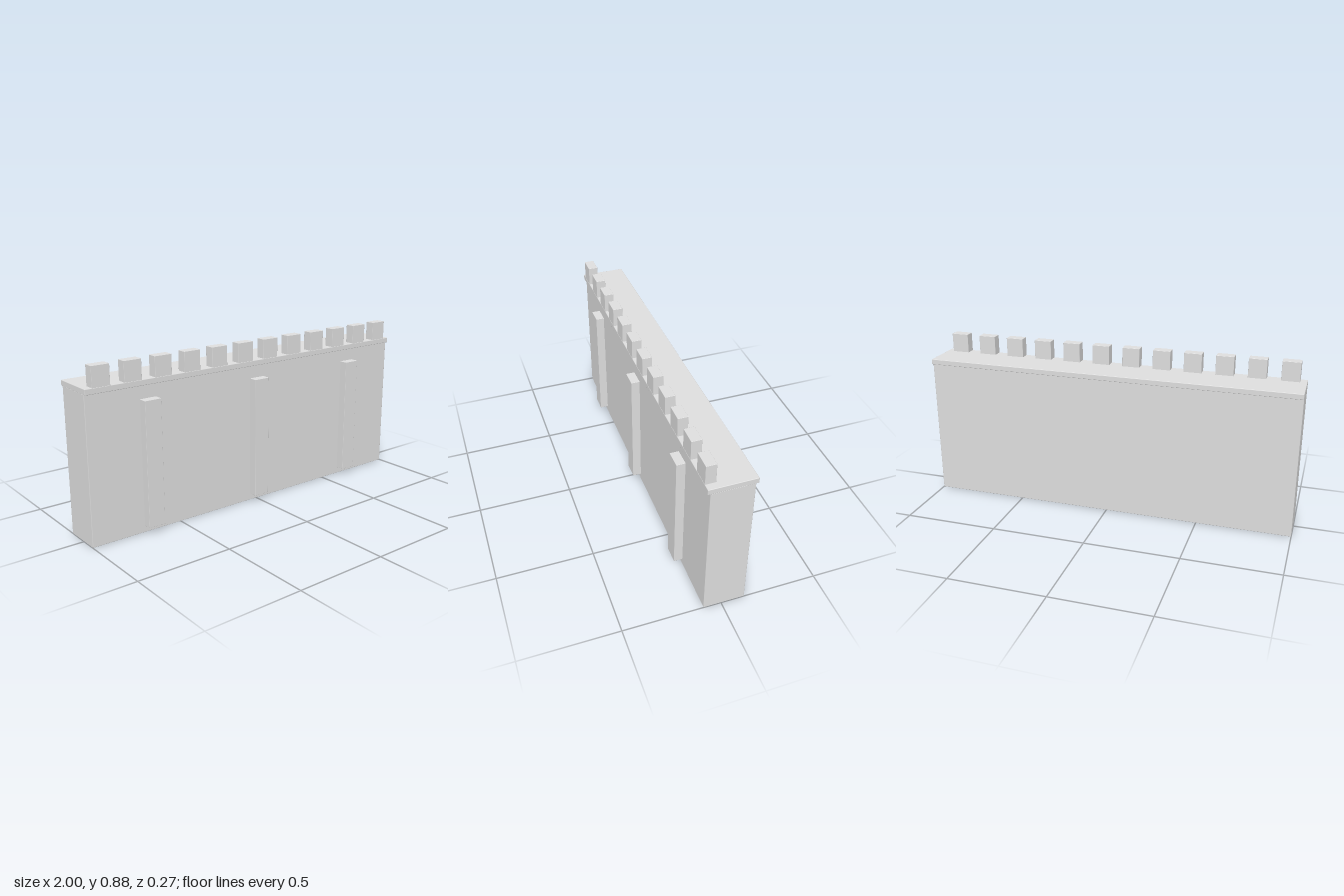
import * as THREE from 'three';
import { RoundedBoxGeometry } from 'three/addons/geometries/RoundedBoxGeometry.js';

export function createModel() {
  const group = new THREE.Group();
  group.name = 'battlementWall';

  const stone = new THREE.MeshStandardMaterial({ color: 0xdddddd });
  stone.name = 'light grey stone';

  // Finely bevelled block given by its centre x, width, and y and z ranges
  const block = (name, x, width, [y0, y1], [z0, z1], bevel) => {
    const geometry = new RoundedBoxGeometry(width, y1 - y0, z1 - z0, 1, bevel);
    const mesh = new THREE.Mesh(geometry, stone);
    mesh.name = name;
    mesh.position.set(x, (y0 + y1) / 2, (z0 + z1) / 2);
    group.add(mesh);
  };

  // Wall and the walkway slab capping it
  block('wall', 0, 2, [0, 0.753], [-0.121, 0.091], 0.003);
  block('walkway', 0, 2, [0.75, 0.779], [-0.135, 0.104], 0.003);

  // Three buttresses on the front face
  for (let i = -1; i <= 1; i++) {
    block('buttress', i * 0.667, 0.09, [0.036, 0.683], [0.085, 0.136], 0.0015);
  }

  // Row of merlons along the front edge
  const count = 12;
  const spacing = 2 / count;
  for (let i = 0; i < count; i++) {
    const x = (i - (count - 1) / 2) * spacing;
    block('merlon', x, 0.094, [0.777, 0.881], [0.051, 0.103], 0.0015);
  }

  return group;
}
